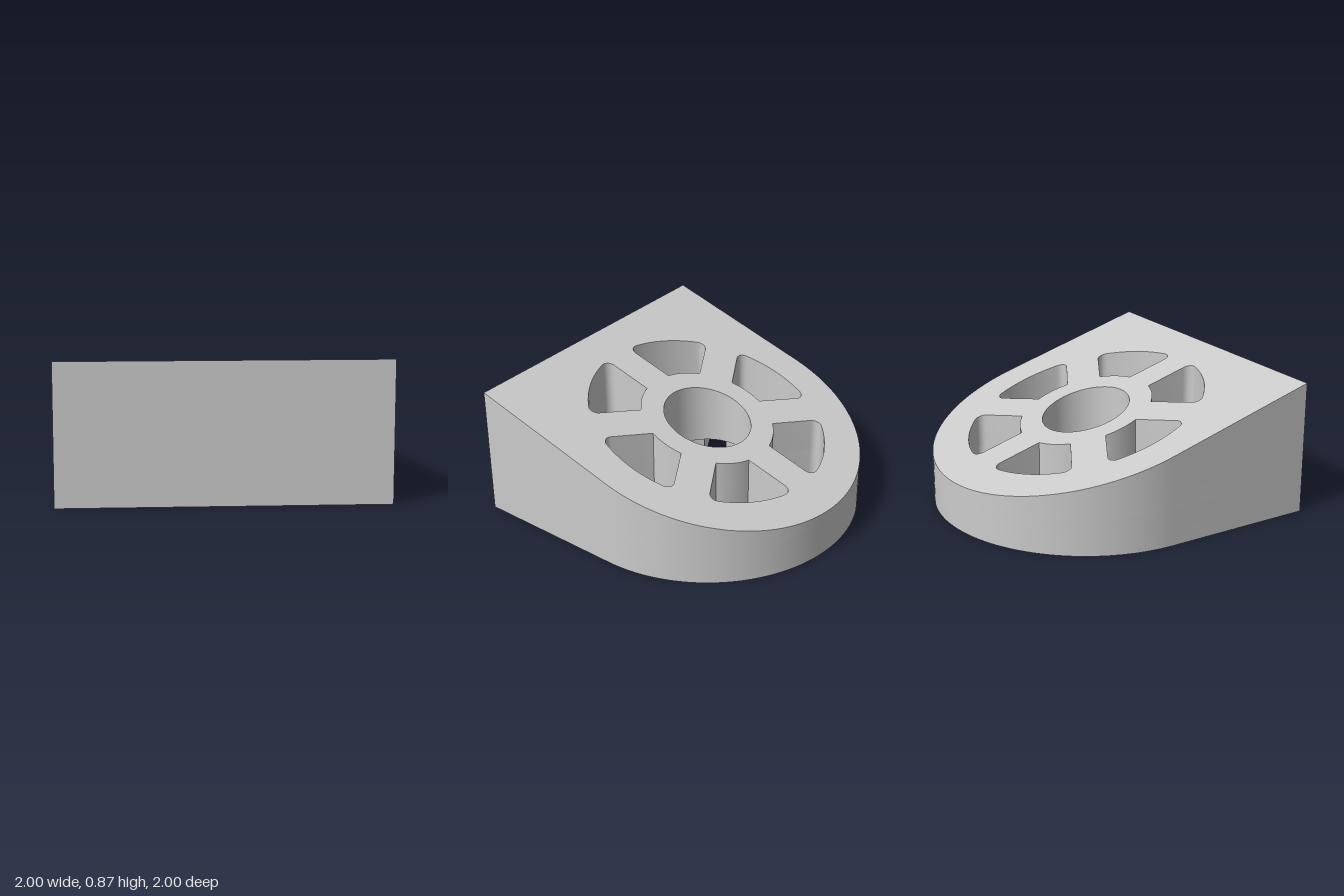
import * as THREE from 'three';
import { toCreasedNormals } from 'three/addons/utils/BufferGeometryUtils.js';

const POCKET_HEIGHT = 0.24;   // flat ceiling of the underside pocket
const POCKET_RADIUS = 0.945;
const HUB_RADIUS = 0.283;
const TUBE_WALL = 0.035;
const slope = (z) => 0.585 + 0.28 * z;
const flat = () => POCKET_HEIGHT;

// Points along an arc; skip leaves out the first point when arcs are chained
function arc(cx, cy, r, from, to, n, skip = 0) {
  const points = [];
  for (let i = skip; i <= n; i++) {
    const a = from + (to - from) * i / n;
    points.push(new THREE.Vector2(cx + r * Math.cos(a), cy + r * Math.sin(a)));
  }
  return points;
}

const circle = (r) => arc(0, 0, r, 0, Math.PI * 2, 96, 1);

// Window between two spokes, rounded at the outer corners, grown by offset
function windowOutline(turn, offset) {
  const inner = 0.43 - offset, outer = 0.765 + offset;
  const half = 0.11 - offset, fillet = 0.05 + offset;
  const reach = outer - fillet;
  const beta = Math.PI / 6 - Math.asin((half + fillet) / reach);
  const gamma = Math.PI / 6 - Math.asin(half / inner);
  const corner = (s) => [reach * Math.cos(turn + s * beta), reach * Math.sin(turn + s * beta)];
  const side = Math.PI * 2 / 3;
  return [
    ...arc(...corner(-1), fillet, turn - side, turn - beta, 7),
    ...arc(0, 0, outer, turn - beta, turn + beta, 18, 1),
    ...arc(...corner(1), fillet, turn + beta, turn + side, 7, 1),
    ...arc(0, 0, inner, turn + gamma, turn - gamma, 12),
  ];
}

// Straight front, semicircular back
const bodyOutline = () => [
  new THREE.Vector2(-1, -1), new THREE.Vector2(1, -1),
  ...arc(0, 0, 1, 0, Math.PI, 64),
];

// Upright prism from bottom to top(z); openTop drops the cap joined to the deck
function prism(name, outline, holes, bottom, top, openTop) {
  const shape = new THREE.Shape(outline);
  shape.holes = holes.map((h) => new THREE.Path(h));
  const geometry = new THREE.ExtrudeGeometry(shape, { depth: 1, bevelEnabled: false });
  geometry.rotateX(-Math.PI / 2);
  const p = geometry.attributes.position;
  const kept = [];
  for (let i = 0; i < p.count; i += 3) {
    const isCap = [0, 1, 2].every((k) => p.getY(i + k) > 0.99);
    if (openTop && isCap) continue;
    for (let k = i; k < i + 3; k++) {
      const z = p.getZ(k);
      kept.push(p.getX(k), bottom + p.getY(k) * (top(z) - bottom), z);
    }
  }
  const solid = new THREE.BufferGeometry();
  solid.setAttribute('position', new THREE.Float32BufferAttribute(kept, 3));
  const mesh = new THREE.Mesh(
    toCreasedNormals(solid, 0.6),
    new THREE.MeshStandardMaterial({ color: 0xcccccc })
  );
  mesh.name = name;
  return mesh;
}

export function createModel() {
  const group = new THREE.Group();
  group.name = 'wedgeBlock';
  const turns = Array.from({ length: 6 }, (_, i) => i * Math.PI / 3);

  // Sloped deck with hub hole and six windows
  const openings = [circle(HUB_RADIUS), ...turns.map((t) => windowOutline(t, 0))];
  group.add(prism('slopedDeck', bodyOutline(), openings, POCKET_HEIGHT, slope, false));

  // Outer wall around the round pocket
  group.add(prism('baseWall', bodyOutline(), [circle(POCKET_RADIUS)], 0, flat, true));

  // Thin tubes carrying the windows down through the pocket
  const tubes = new THREE.Group();
  tubes.name = 'windowTubes';
  turns.forEach((t, i) => tubes.add(prism(`windowTube${i + 1}`,
    windowOutline(t, TUBE_WALL), [windowOutline(t, 0)], 0, flat, true)));
  group.add(tubes);

  return group;
}
